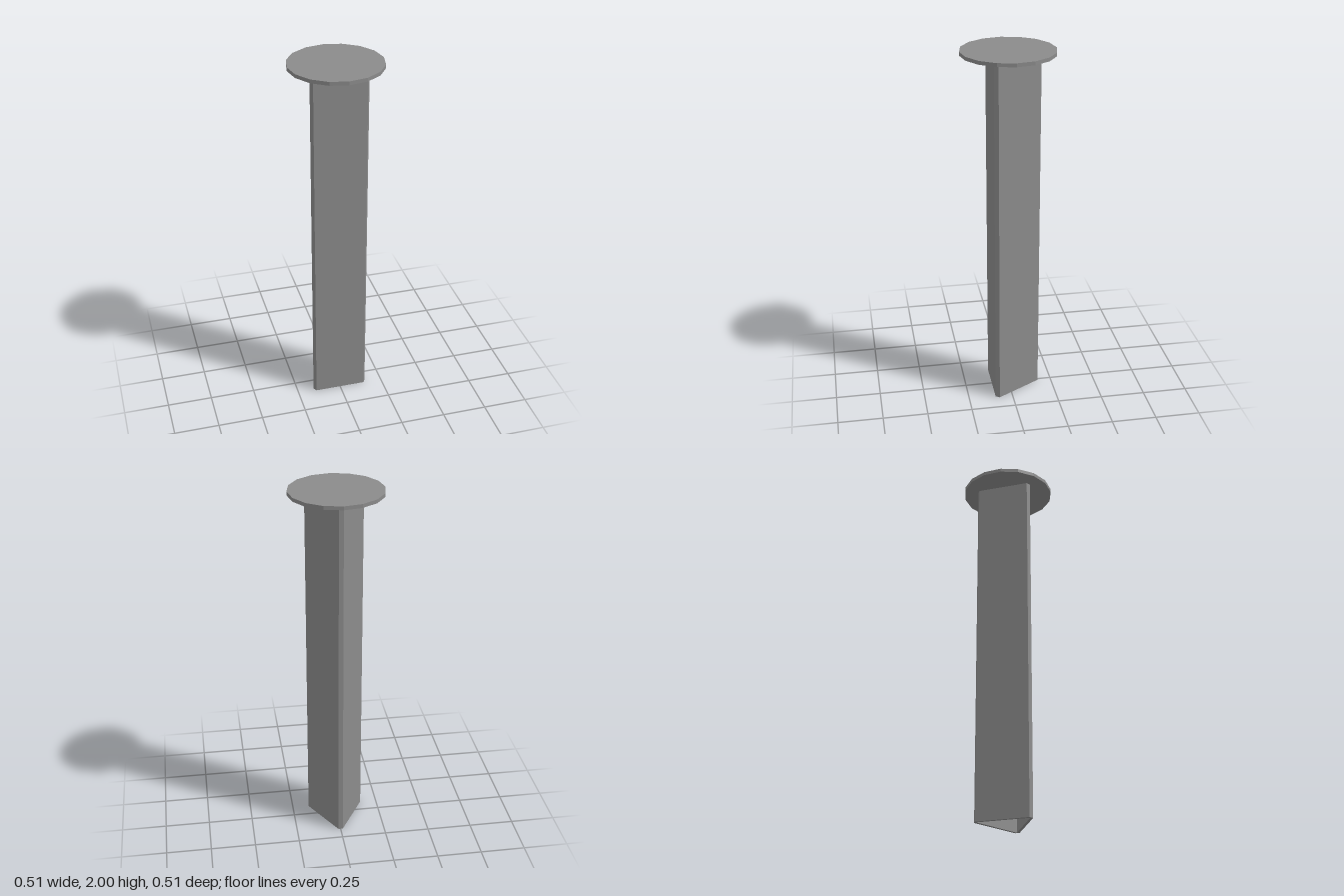
import * as THREE from 'three';

const HEIGHT = 2, CAP_THICKNESS = 0.02, CAP_RADIUS = 0.254;
const CORNER_RADIUS = 0.1735, CORNER_HALF_ANGLE = 0.0733, INNER_RADIUS = 0.1657;

// Point in plan; the first corner of the triangle points to the back
const polar = (r, a) => new THREE.Vector2(r * Math.cos(a), r * Math.sin(a));
const cornerAngles = [0, 1, 2].map(i => Math.PI / 2 + i * Math.PI * 2 / 3);

export function createModel() {
  const group = new THREE.Group();
  const material = new THREE.MeshStandardMaterial({ color: 0x8b8b8b, flatShading: true });

  // Hollow three-walled shaft with blunted corners, open at the bottom
  const outline = new THREE.Shape(cornerAngles.flatMap(a => [
    polar(CORNER_RADIUS, a - CORNER_HALF_ANGLE),
    polar(CORNER_RADIUS, a + CORNER_HALF_ANGLE),
  ]));
  outline.holes.push(new THREE.Path(cornerAngles.map(a => polar(INNER_RADIUS, a)).reverse()));
  const shaftGeometry = new THREE.ExtrudeGeometry(outline, {
    depth: HEIGHT - CAP_THICKNESS, bevelEnabled: false,
  });
  shaftGeometry.rotateX(-Math.PI / 2);
  const shaft = new THREE.Mesh(shaftGeometry, material);
  shaft.name = 'shaft';
  group.add(shaft);

  // Thin sixteen-sided plate on top
  const cap = new THREE.Mesh(
    new THREE.CylinderGeometry(CAP_RADIUS, CAP_RADIUS, CAP_THICKNESS, 16), material);
  cap.name = 'topPlate';
  cap.position.y = HEIGHT - CAP_THICKNESS / 2;
  group.add(cap);

  return group;
}
